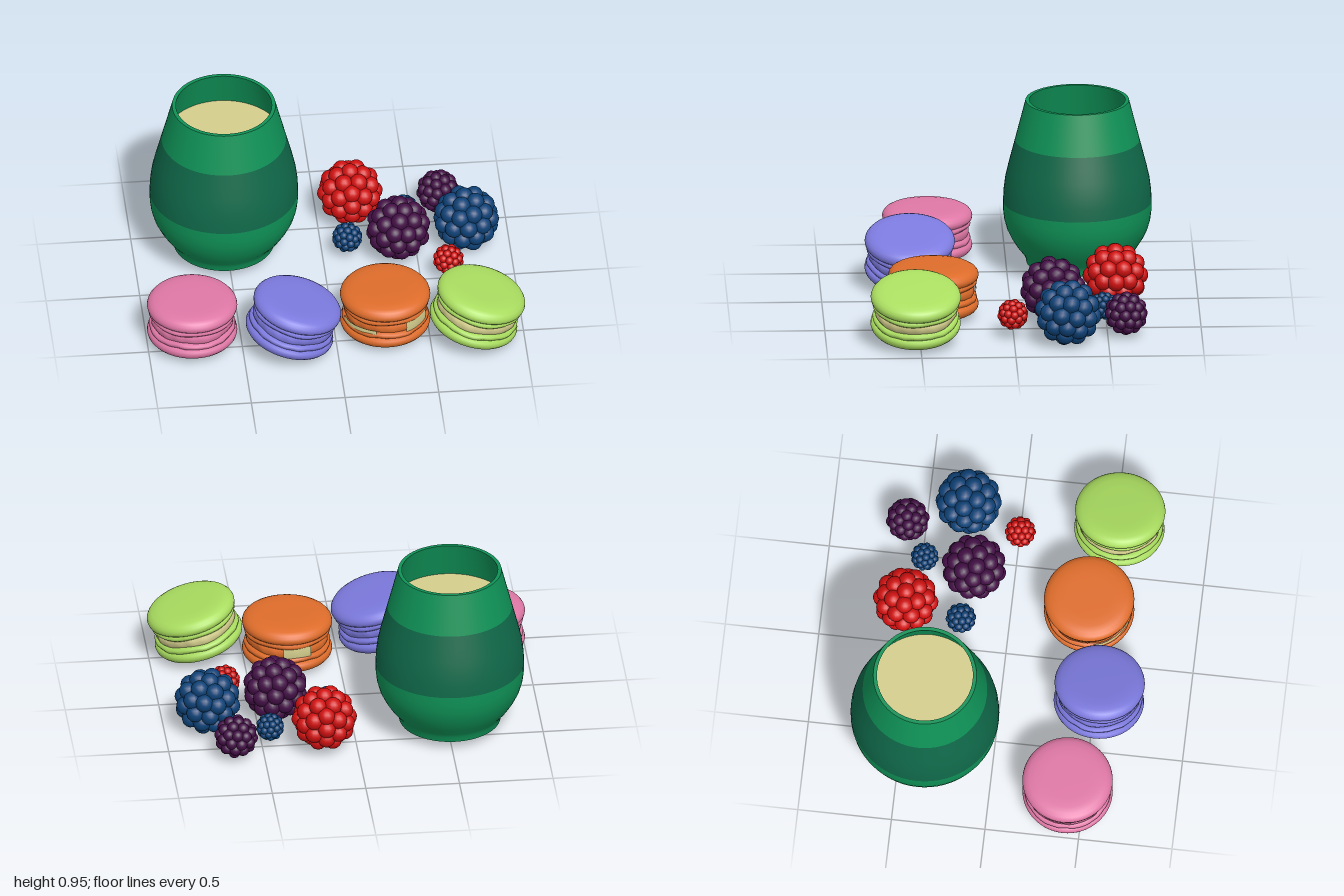
import * as THREE from 'three';
import { mergeGeometries, mergeVertices } from 'three/addons/utils/BufferGeometryUtils.js';

const mat = (name, color) => {
  const m = new THREE.MeshStandardMaterial({ color });
  m.name = name;
  return m;
};

const lathe = (pts, segs = 48, start = 0, len = Math.PI * 2) =>
  new THREE.LatheGeometry(pts.map(p => new THREE.Vector2(p[0], p[1])), segs, start, len);

function add(parent, name, geometry, material) {
  const mesh = new THREE.Mesh(geometry, material);
  mesh.name = name;
  parent.add(mesh);
  return mesh;
}

// Irregular ripple around the vertical axis, moving each vertex out and up
function ruffle(geometry, seed, outward, upward) {
  geometry.deleteAttribute('uv');
  geometry.deleteAttribute('normal');
  const g = mergeVertices(geometry, 1e-4);
  const p = g.attributes.position;
  for (let i = 0; i < p.count; i++) {
    const x = p.getX(i), y = p.getY(i), z = p.getZ(i);
    const a = Math.atan2(x, z);
    const n = Math.sin(a * 7 + seed) * 0.5 + Math.sin(a * 13 + seed * 2.3) * 0.35 + Math.sin(a * 19 + seed * 4.1 + y * 60) * 0.3;
    const s = 1 + outward * n;
    p.setXYZ(i, x * s, y + upward * Math.sin(a * 5 + seed * 1.7) + upward * 0.5 * n, z * s);
  }
  g.computeVertexNormals();
  return g;
}

function makeCandle(m) {
  const g = new THREE.Group();
  g.name = 'candle';
  const lower = [[0.27, 0.06], [0.276, 0.09], [0.29, 0.115], [0.322, 0.155], [0.35, 0.2], [0.374, 0.25], [0.388, 0.3], [0.394, 0.35], [0.395, 0.4]];
  const middle = [[0.395, 0.4], [0.392, 0.46], [0.383, 0.53], [0.367, 0.6], [0.349, 0.67], [0.331, 0.74]];
  const upper = [[0.331, 0.74], [0.303, 0.85], [0.275, 0.96]];
  add(g, 'jarBase', lathe([[0, 0.06], [0.27, 0.06]], 64), m.green);
  add(g, 'jarLower', lathe(lower, 64), m.green);
  add(g, 'jarBand', lathe(middle, 64), m.darkGreen);
  add(g, 'jarUpper', lathe(upper, 64), m.green);
  add(g, 'jarRim', lathe([[0.275, 0.96], [0.255, 0.96]], 64), m.green);
  add(g, 'jarInside', lathe([[0.255, 0.96], [0.283, 0.85], [0.311, 0.74]], 64), m.green);
  add(g, 'wax', lathe([[0.308, 0.76], [0, 0.76]], 64), m.cream);
  g.position.set(-0.515, 0, -0.375);
  return g;
}

function makeMacaron(shellMat, fillMat, seed) {
  const g = new THREE.Group();
  g.name = 'macaron';
  const shell = [[0.2, 0.052], [0.226, 0.056], [0.237, 0.067], [0.24, 0.082], [0.236, 0.097], [0.225, 0.111], [0.205, 0.122], [0.17, 0.129], [0.12, 0.131], [0, 0.131]];
  const foot = [[0.19, 0.022], [0.218, 0.024], [0.228, 0.034], [0.23, 0.044], [0.224, 0.056], [0.2, 0.06]];
  // Matching shells and ruffled feet above and below
  [0, Math.PI].forEach((turn, i) => {
    const half = new THREE.Group();
    half.name = i ? 'bottomHalf' : 'topHalf';
    half.rotation.x = turn;
    add(half, 'shell', lathe(shell, 56), shellMat);
    add(half, 'ruffledFoot', ruffle(lathe(foot, 96), seed + i * 3, 0.008, 0.003), shellMat);
    g.add(half);
  });
  const filling = [[0.17, -0.034], [0.208, -0.03], [0.218, -0.012], [0.218, 0.012], [0.208, 0.03], [0.17, 0.034]];
  add(g, 'filling', ruffle(lathe(filling, 96), seed + 5, 0.014, 0.004), fillMat);
  return g;
}

// Sphere of overlapping beads on the points of a subdivided icosahedron
function makeBerry(radius, material) {
  const ico = new THREE.IcosahedronGeometry(1, 1);
  ico.deleteAttribute('uv');
  ico.deleteAttribute('normal');
  const p = mergeVertices(ico, 1e-3).attributes.position;
  const parts = [new THREE.SphereGeometry(radius * 0.77, 20, 14)];
  for (let i = 0; i < p.count; i++) {
    const c = new THREE.Vector3().fromBufferAttribute(p, i).multiplyScalar(radius * 0.73);
    parts.push(new THREE.SphereGeometry(radius * 0.27, 14, 10).translate(c.x, c.y, c.z));
  }
  return new THREE.Mesh(mergeGeometries(parts), material);
}

export function createModel() {
  const m = {
    green: mat('jar green', 0x0f9257),
    darkGreen: mat('band dark green', 0x0f6849),
    cream: mat('cream', 0xd4ce8d),
    pink: mat('pink', 0xdf78a6),
    violet: mat('violet', 0x7c7ade),
    orange: mat('orange', 0xdf6d2b),
    lime: mat('lime', 0xaadd60),
    red: mat('berry red', 0xd01010),
    plum: mat('berry plum', 0x430f46),
    blue: mat('berry blue', 0x0e4277),
  };
  const root = new THREE.Group();
  root.name = 'candleWithMacaronsAndBerries';
  root.add(makeCandle(m));

  // Macarons: shell, filling, position, tilt
  const tilt = -Math.PI / 12;
  [
    ['pinkMacaron', m.pink, m.pink, [-0.76, 0.165, 0.415], 0],
    ['violetMacaron', m.violet, m.violet, [-0.23, 0.202, 0.525], tilt],
    ['orangeMacaron', m.orange, m.orange, [0.27, 0.165, 0.415], 0],
    ['limeMacaron', m.lime, m.cream, [0.752, 0.202, 0.525], tilt],
  ].forEach(([name, shell, fill, pos, rz], i) => {
    const mac = makeMacaron(shell, fill, i * 1.9 + 0.6);
    mac.name = name;
    mac.position.set(...pos);
    mac.rotation.z = rz;
    root.add(mac);
    if (name !== 'orangeMacaron') return;
    // Cream showing through: start angle, end angle, bottom, top
    [[-78, -17, -0.045, -0.012], [25, 66, -0.034, 0.032], [169, 208, -0.03, 0.03]].forEach(([a, b, y0, y1]) => {
      const rad = THREE.MathUtils.degToRad;
      const strip = lathe([[0.224, y0], [0.228, (y0 + y1) / 2], [0.224, y1]], 20, rad(a), rad(b - a));
      add(mac, 'creamPatch', ruffle(strip, 2.4, 0.006, 0.004), m.cream);
    });
  });

  // Berries: colour, radius, position
  [
    ['largeRedBerry', m.red, 0.175, [0.175, 0.2, -0.555]],
    ['largePlumBerry', m.plum, 0.175, [0.4, 0.2, -0.215]],
    ['largeBlueBerry', m.blue, 0.178, [0.77, 0.184, -0.285]],
    ['smallPlumBerry', m.plum, 0.117, [0.65, 0.138, -0.597]],
    ['smallBlueBerryBack', m.blue, 0.076, [0.457, 0.12, -0.485]],
    ['smallBlueBerryFront', m.blue, 0.082, [0.132, 0.125, -0.255]],
    ['smallRedBerry', m.red, 0.083, [0.647, 0.137, 0.005]],
  ].forEach(([name, material, r, pos], i) => {
    const berry = makeBerry(r, material);
    berry.name = name;
    berry.position.set(...pos);
    berry.rotation.set(i * 0.7, i * 1.1, 0);
    root.add(berry);
  });
  return root;
}
